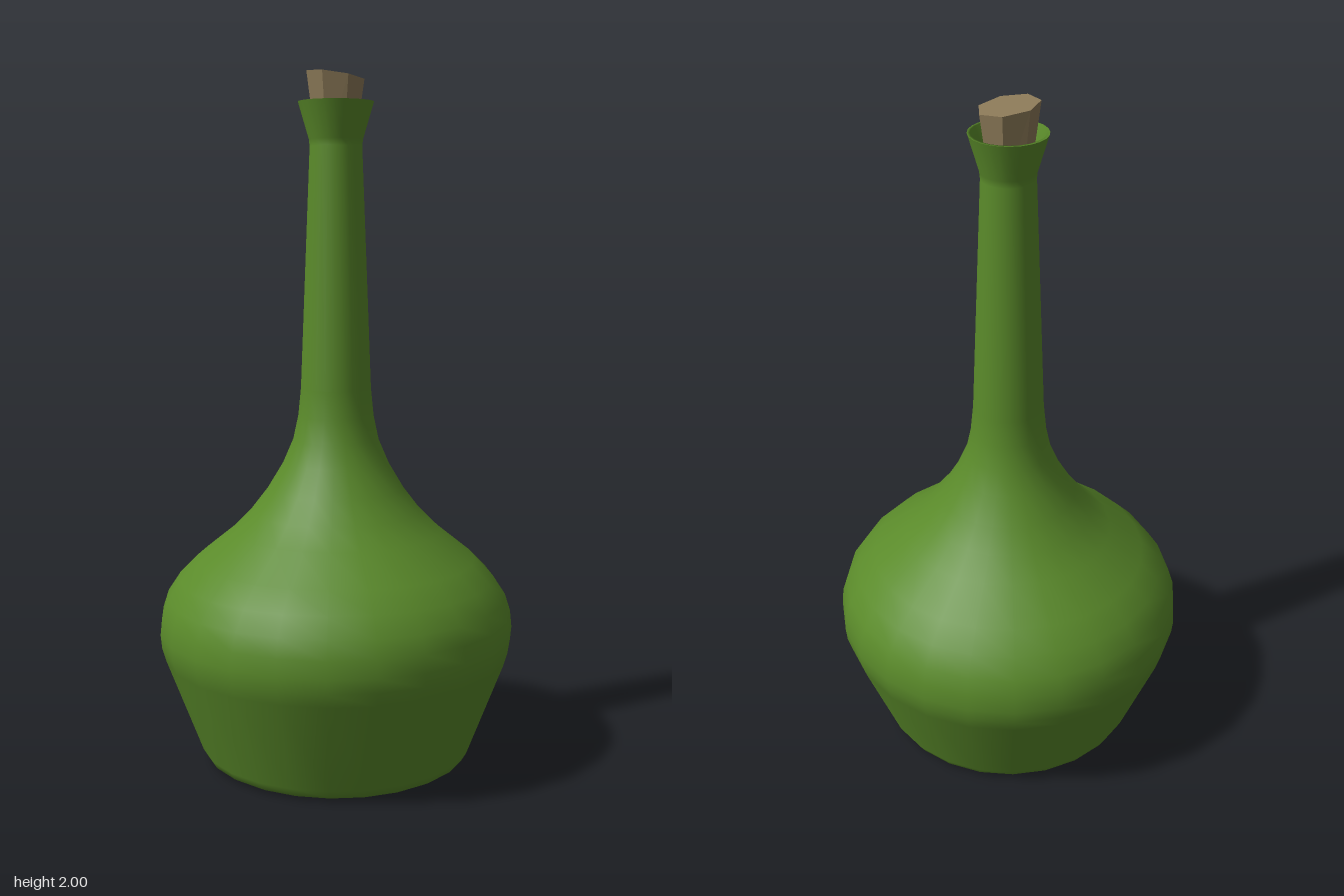
import * as THREE from 'three';

const SIDES = 24;

function lathe(name, points, material) {
  const profile = points.map(([r, y]) => new THREE.Vector2(r, y));
  const mesh = new THREE.Mesh(new THREE.LatheGeometry(profile, SIDES), material);
  mesh.name = name;
  return mesh;
}

export function createModel() {
  const group = new THREE.Group();
  group.name = 'corkedBottle';
  const glass = new THREE.MeshStandardMaterial({ color: 0x5a8a2a });
  const corkMaterial = new THREE.MeshStandardMaterial({ color: 0x8c7a58, flatShading: true });

  // Base, belly, shoulder, long neck and flared lip
  group.add(lathe('bottleBody', [
    [0, 0], [0.35, 0], [0.37, 0.003], [0.387, 0.013], [0.4, 0.035],
    [0.505, 0.31], [0.517, 0.35], [0.521, 0.39], [0.516, 0.44], [0.5, 0.49],
    [0.464, 0.545], [0.41, 0.6], [0.31, 0.68], [0.25, 0.74], [0.2, 0.805],
    [0.155, 0.88], [0.125, 0.95], [0.11, 1.02], [0.102, 1.1],
    [0.075, 1.79], [0.077, 1.81], [0.108, 1.915],
  ], glass));

  // Thin rim and the inside of the mouth
  group.add(lathe('mouth', [
    [0.108, 1.915], [0.1, 1.915], [0.068, 1.81], [0.066, 1.76], [0, 1.76],
  ], glass));

  // Seven-sided cork with a slanted top
  const bottom = 1.78, top = 1.988;
  const geometry = new THREE.CylinderGeometry(0.084, 0.055, top - bottom, 7, 1, false, -Math.PI / 2);
  const pos = geometry.attributes.position;
  for (let i = 0; i < pos.count; i++) {
    if (pos.getY(i) > 0) pos.setY(i, pos.getY(i) - 0.15 * pos.getX(i));
  }
  geometry.computeVertexNormals();
  const cork = new THREE.Mesh(geometry, corkMaterial);
  cork.name = 'cork';
  cork.position.set(0, (bottom + top) / 2, -0.006);
  group.add(cork);

  return group;
}
